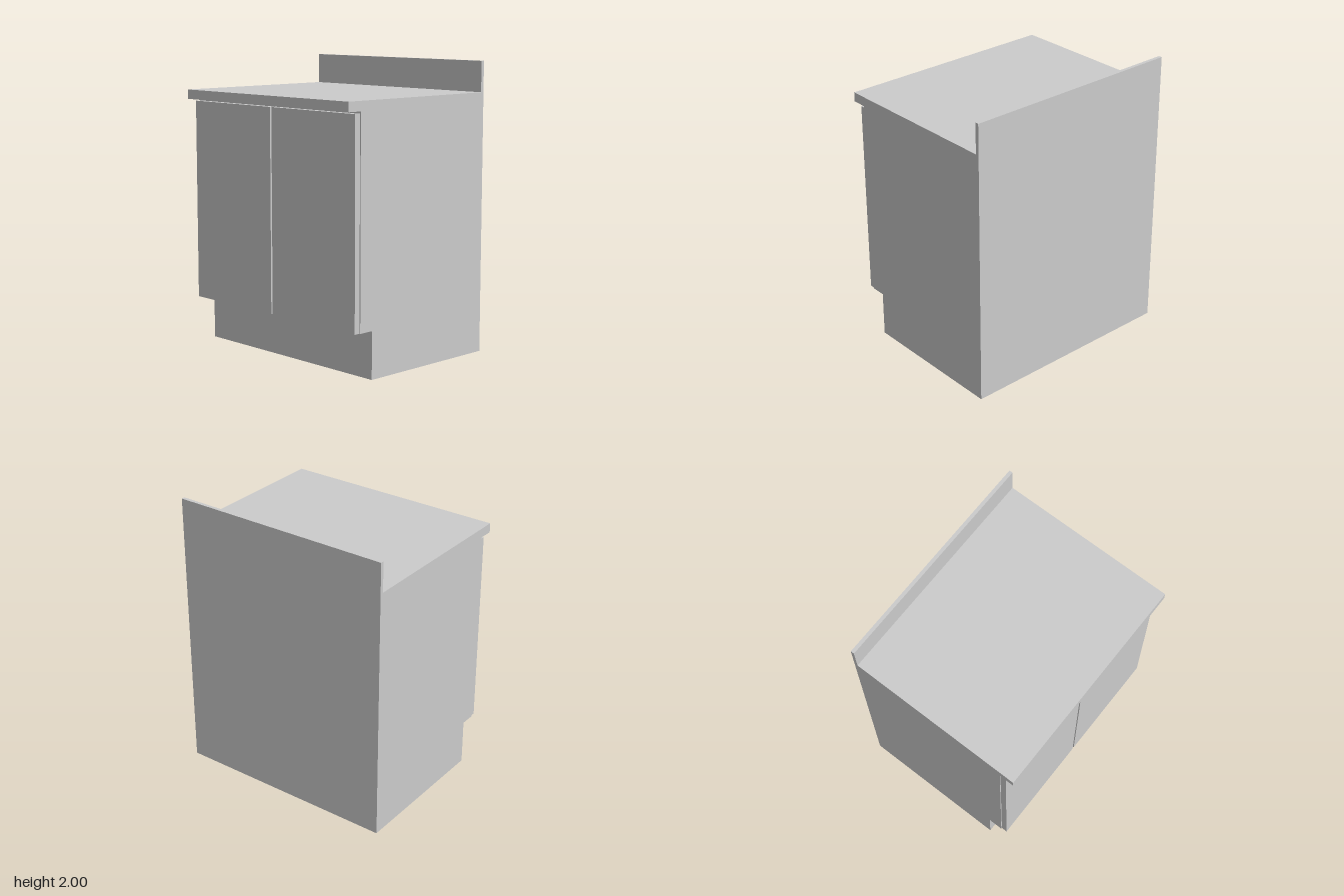
import * as THREE from 'three';

const WIDTH = 1.59;
const CARCASS_FRONT = 0.53;

export function createModel() {
  const group = new THREE.Group();
  const material = new THREE.MeshStandardMaterial({ color: 0xcccccc, flatShading: true });

  // Cabinet body: one side profile (z, y) with toe kick, worktop overhang and backsplash
  const profile = new THREE.Shape([
    [-0.635, 0], [0.425, 0], [0.425, 0.32], [CARCASS_FRONT, 0.32],
    [CARCASS_FRONT, 1.725], [0.635, 1.725], [0.635, 1.79],
    [-0.61, 1.79], [-0.61, 2], [-0.635, 2],
  ].map(([z, y]) => new THREE.Vector2(z, y)));
  const bodyGeometry = new THREE.ExtrudeGeometry(profile, { depth: WIDTH, bevelEnabled: false });
  bodyGeometry.translate(0, 0, -WIDTH / 2).rotateY(-Math.PI / 2); // profile z -> world z
  const body = new THREE.Mesh(bodyGeometry, material);
  body.name = 'cabinetBody';
  group.add(body);

  // Pair of flat doors with a narrow gap between them
  const inner = 0.007, outer = 0.788, bottom = 0.32, top = 1.71, thickness = 0.042;
  for (const side of [-1, 1]) {
    const door = new THREE.Mesh(
      new THREE.BoxGeometry(outer - inner, top - bottom, thickness), material);
    door.position.set(side * (inner + outer) / 2, (top + bottom) / 2, CARCASS_FRONT + thickness / 2);
    door.name = side > 0 ? 'leftDoor' : 'rightDoor';
    group.add(door);
  }

  return group;
}
